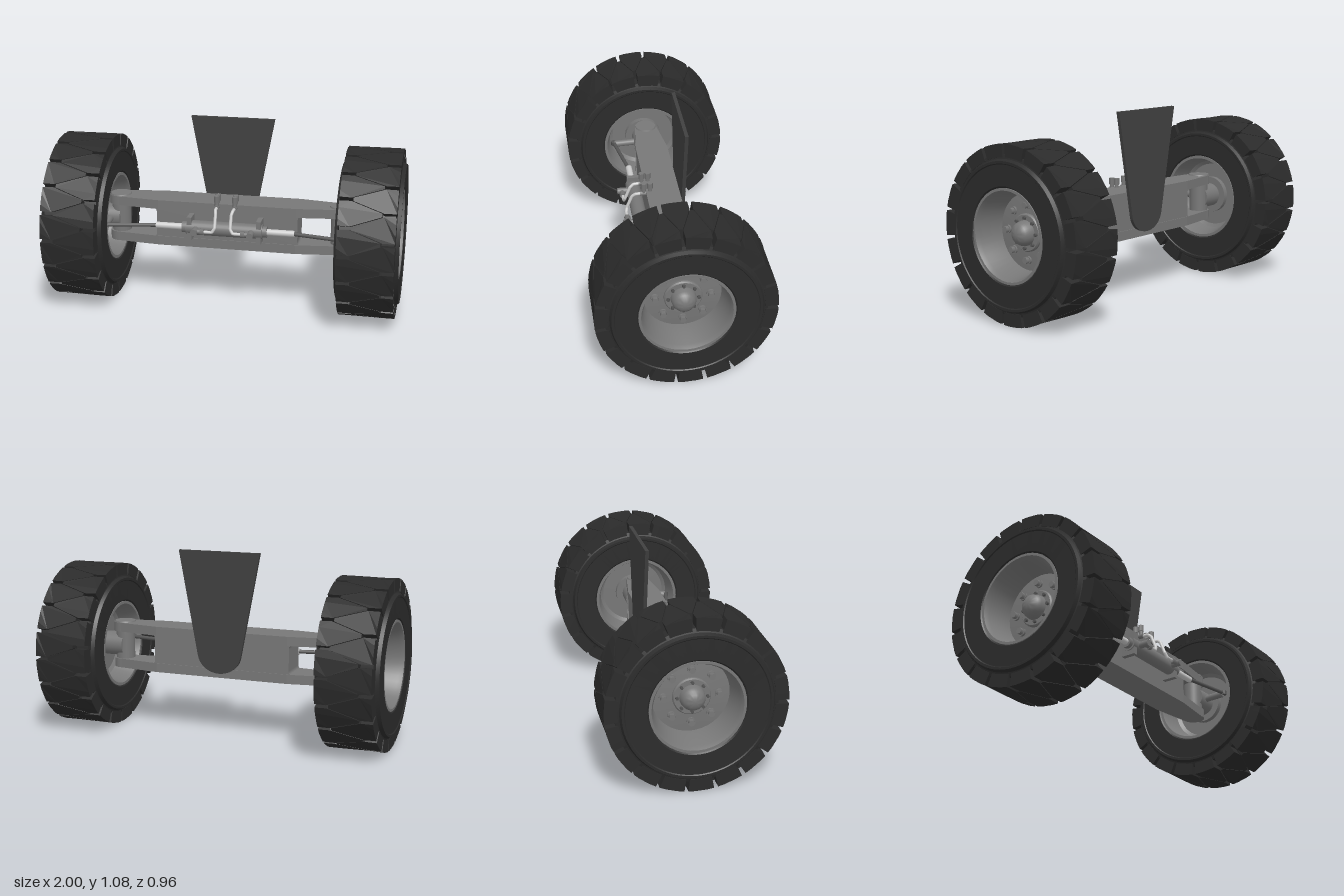
import * as THREE from 'three';
import { mergeGeometries, toCreasedNormals } from 'three/addons/utils/BufferGeometryUtils.js';

const mat = (color) => new THREE.MeshStandardMaterial({ color });
const steel = mat(0x777777), chrome = mat(0xcccccc), rubber = mat(0x2b2b2b),
  plateMat = mat(0x404040), dark = mat(0x555555);
const V = (x, y, z) => new THREE.Vector3(x, y, z);
const AXIS_Y = 0.483;

function add(parent, name, geometry, material, x = 0, y = 0, z = 0) {
  const m = new THREE.Mesh(geometry, material);
  m.name = name;
  m.position.set(x, y, z);
  parent.add(m);
  return m;
}

// Surface of revolution around the x axis; profile is [radius, x]
function latheX(profile, segments) {
  const g = new THREE.LatheGeometry(profile.map(([r, x]) => new THREE.Vector2(r, x)), segments);
  g.rotateZ(-Math.PI / 2);
  return toCreasedNormals(g, 0.5);
}

const cylX = (r, length, seg = 24) => new THREE.CylinderGeometry(r, r, length, seg).rotateZ(-Math.PI / 2);

// Cylinder between two points
function rod(parent, name, a, b, r, material, seg = 16) {
  const m = add(parent, name, new THREE.CylinderGeometry(r, r, a.distanceTo(b), seg), material);
  m.position.copy(a).add(b).multiplyScalar(0.5);
  m.quaternion.setFromUnitVectors(V(0, 1, 0), b.clone().sub(a).normalize());
  return m;
}

// One tread block: a tapered outline bent around the wheel axis
function treadBlock(side, angle, pitch) {
  const shape = new THREE.Shape([
    [-0.43, 0.155], [-0.44, 0.09], [-0.06, -0.08], [0.06, -0.08],
    [0.44, 0.09], [0.43, 0.155], [0.2, 0.155], [-0.2, 0.155],
  ].map(([u, v]) => new THREE.Vector2(u * pitch, v * side)));
  const g = new THREE.ExtrudeGeometry(shape, { depth: 0.07, bevelEnabled: false });
  const p = g.attributes.position;
  for (let i = 0; i < p.count; i++) {
    const th = p.getX(i) + angle, r = 0.41 + p.getZ(i);
    p.setXYZ(i, p.getY(i), r * Math.cos(th), r * Math.sin(th));
  }
  g.computeVertexNormals();
  return g;
}

// Wheel centred on its own axis, outer face towards +x
function makeWheel() {
  const wheel = new THREE.Group();

  const half = [[0.25, 0.155], [0.262, 0.168], [0.375, 0.17], [0.38, 0.175], [0.393, 0.175],
    [0.402, 0.155], [0.425, 0.148]];
  const tyreProfile = [...half.map(([r, x]) => [r, -x]), ...half.slice().reverse()];
  add(wheel, 'tyre', latheX(tyreProfile, 72), rubber);

  const count = 19, pitch = (2 * Math.PI) / count, blocks = [];
  for (let i = 0; i < count; i++) {
    blocks.push(treadBlock(1, 0.218 + i * pitch, pitch));
    blocks.push(treadBlock(-1, 0.218 + (i + 0.5) * pitch, pitch));
  }
  add(wheel, 'treadBlocks', mergeGeometries(blocks), rubber);

  // Dished rim, closed on both sides
  add(wheel, 'rim', latheX([
    [0, -0.03], [0.19, -0.03], [0.21, -0.045], [0.228, -0.14], [0.238, -0.165], [0.254, -0.165], [0.254, -0.15],
    [0.254, 0.15], [0.254, 0.165], [0.24, 0.165], [0.228, 0.14], [0.207, 0], [0.1, 0.012], [0, 0.012],
  ], 40), steel);

  // Hub flange with a domed cap
  add(wheel, 'hub', latheX([
    [0.102, 0], [0.102, 0.022], [0.096, 0.03], [0.068, 0.03], [0.064, 0.06], [0.054, 0.08],
    [0.036, 0.094], [0.018, 0.1], [0, 0.102],
  ], 32), steel);

  // Wheel nuts on washers, and the smaller hub bolts
  for (let i = 0; i < 8; i++) {
    const a = (i * Math.PI) / 4, c = Math.cos(a), s = Math.sin(a);
    add(wheel, 'nutWasher', cylX(0.022, 0.012), steel, 0.012, 0.148 * c, 0.148 * s);
    add(wheel, 'wheelNut', cylX(0.018, 0.03, 6), steel, 0.024, 0.148 * c, 0.148 * s);
    add(wheel, 'hubBolt', cylX(0.009, 0.016, 6), dark, 0.036, 0.081 * c, 0.081 * s);
  }
  return wheel;
}

// Top or bottom axle plate: tapered outline with rounded ends
function axlePlate() {
  const s = new THREE.Shape();
  s.moveTo(-0.4, -0.09);
  s.lineTo(0.4, -0.09);
  s.lineTo(0.645, -0.06);
  s.absarc(0.645, 0, 0.065, -Math.PI / 2, Math.PI / 2, false);
  s.lineTo(0.4, 0.1);
  s.lineTo(-0.4, 0.1);
  s.lineTo(-0.645, 0.065);
  s.absarc(-0.645, 0, 0.065, Math.PI / 2, Math.PI * 1.5, false);
  return new THREE.ExtrudeGeometry(s, { depth: 0.053, bevelEnabled: false, curveSegments: 16 }).rotateX(-Math.PI / 2);
}

// Middle of the axle, with filleted corners where it meets the plates
function axleBody() {
  const s = new THREE.Shape(), x = 0.41, f = 0.022, lo = 0.4, hi = 0.57;
  s.moveTo(-x - f, lo);
  s.lineTo(x + f, lo);
  s.quadraticCurveTo(x, lo, x, lo + f);
  s.lineTo(x, hi - f);
  s.quadraticCurveTo(x, hi, x + f, hi);
  s.lineTo(-x - f, hi);
  s.quadraticCurveTo(-x, hi, -x, hi - f);
  s.lineTo(-x, lo + f);
  s.quadraticCurveTo(-x, lo, -x - f, lo);
  return new THREE.ExtrudeGeometry(s, { depth: 0.18, bevelEnabled: false }).translate(0, 0, -0.095);
}

// Upright shield behind the axle with a rounded foot
function shieldGeometry() {
  const s = new THREE.Shape();
  s.moveTo(-0.243, 1.08);
  s.lineTo(-0.13, 0.48);
  s.bezierCurveTo(-0.105, 0.345, 0.105, 0.345, 0.13, 0.48);
  s.lineTo(0.243, 1.08);
  return new THREE.ExtrudeGeometry(s, { depth: 0.02, bevelEnabled: false, curveSegments: 20 });
}

export function createModel() {
  const model = new THREE.Group();
  model.name = 'steeringAxle';

  // Axle
  add(model, 'axleTopPlate', axlePlate(), steel, 0, 0.567, 0);
  add(model, 'axleBottomPlate', axlePlate(), steel, 0, 0.35, 0);
  add(model, 'axleBody', axleBody(), steel);
  add(model, 'shield', shieldGeometry(), plateMat, 0, 0, -0.12);

  // Steering cylinder
  const cz = 0.135, cy = 0.487;
  add(model, 'steeringCylinder', cylX(0.042, 0.44), steel, 0, cy, cz);
  add(model, 'pistonRod', cylX(0.018, 0.8), chrome, 0, cy, cz);

  for (const side of [1, -1]) {
    const wheel = makeWheel();
    wheel.name = side > 0 ? 'leftWheel' : 'rightWheel';
    wheel.position.set(side * 0.825, AXIS_Y, 0);
    if (side < 0) wheel.rotation.y = Math.PI;
    model.add(wheel);

    const P = (x, y, z) => V(side * x, y, z);

    // Steering knuckle: kingpin, spindle and arm
    add(model, 'kingpin', new THREE.CylinderGeometry(0.055, 0.055, 0.19, 28), steel, side * 0.645, 0.485, 0);
    add(model, 'kingpinCap', new THREE.CylinderGeometry(0.06, 0.064, 0.01, 28), steel, side * 0.645, 0.622, 0);
    rod(model, 'spindle', P(0.64, AXIS_Y, 0), P(0.8, AXIS_Y, 0), 0.07, steel, 28);
    rod(model, 'spindleFlange', P(0.765, AXIS_Y, 0), P(0.8, AXIS_Y, 0), 0.11, steel, 28);
    rod(model, 'steeringArm', P(0.7, AXIS_Y, 0.03), P(0.69, AXIS_Y, 0.19), 0.02, steel);

    // Tie rod with its end joints
    const link = rod(model, 'tieRod', P(0.39, cy, 0.137), P(0.69, cy, 0.193), 0.011, dark, 12);
    link.material = dark;
    add(model, 'tieRodEnd', new THREE.CylinderGeometry(0.018, 0.018, 0.024, 16), dark, side * 0.69, cy, 0.193);

    // Cylinder end clamp and gland
    add(model, 'cylinderClamp', new THREE.BoxGeometry(0.028, 0.135, 0.085), steel, side * 0.2, cy, cz - 0.008);
    add(model, 'cylinderGland', cylX(0.032, 0.03), steel, side * 0.23, cy, cz);

    // Hydraulic port, elbow and pipe
    rod(model, 'port', P(0.16, cy, 0.15), P(0.16, cy, 0.232), 0.019, steel);
    rod(model, 'portElbow', P(0.115, cy, 0.205), P(0.16, cy, 0.205), 0.014, steel);
    rod(model, 'pipeNut', P(0.105, cy, 0.205), P(0.128, cy, 0.205), 0.018, steel, 6);
    const path = new THREE.CurvePath();
    const pts = [P(0.115, cy, 0.205), P(0.06, cy, 0.205), P(0.045, 0.51, 0.2),
      P(0.045, 0.585, 0.17), P(0.05, 0.602, 0.15), P(0.052, 0.605, 0.09)];
    for (let i = 1; i < pts.length; i++) path.add(new THREE.LineCurve3(pts[i - 1], pts[i]));
    add(model, 'hydraulicPipe', new THREE.TubeGeometry(path, 40, 0.009, 10), chrome);
    rod(model, 'bulkheadFitting', P(0.052, 0.605, 0.065), P(0.052, 0.605, 0.12), 0.014, steel);
    for (const z of [0.066, 0.102]) {
      rod(model, 'hoseStem', P(0.052, 0.6, z), P(0.052, 0.645, z), 0.012, steel);
      rod(model, 'hoseNut', P(0.052, 0.635, z), P(0.052, 0.672, z), 0.017, steel, 6);
    }
  }
  return model;
}
